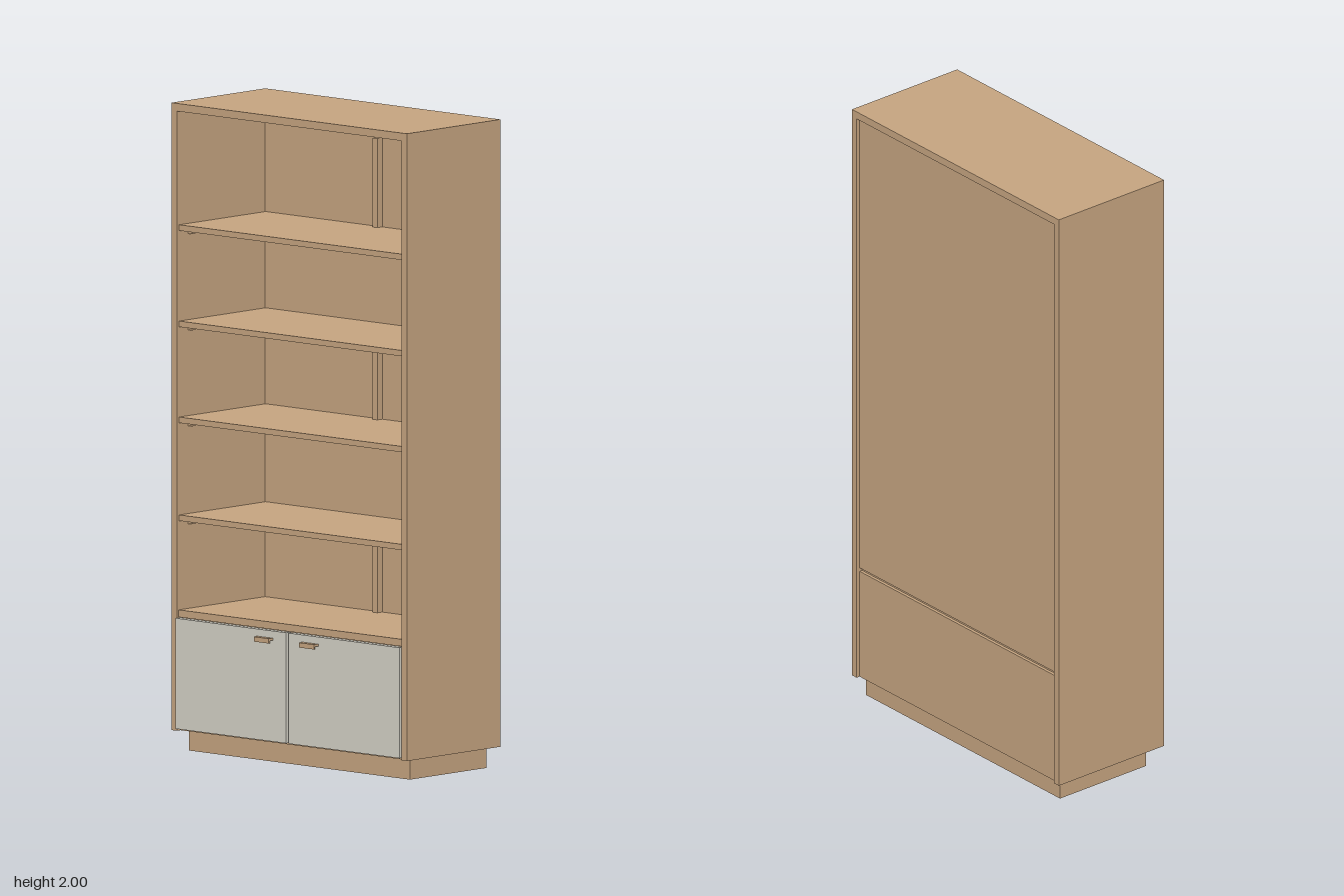
import * as THREE from 'three';

export function createModel() {
  const model = new THREE.Group();
  const wood = new THREE.MeshStandardMaterial({ color: 0xc4a37f });
  wood.name = 'oak wood';
  const paint = new THREE.MeshStandardMaterial({ color: 0xd2cfc4 });
  paint.name = 'pale grey paint';

  // Box given by its minimum and maximum on each axis
  function box(name, [x0, x1], [y0, y1], [z0, z1], material = wood) {
    const mesh = new THREE.Mesh(new THREE.BoxGeometry(x1 - x0, y1 - y0, z1 - z0), material);
    mesh.position.set((x0 + x1) / 2, (y0 + y1) / 2, (z0 + z1) / 2);
    mesh.name = name;
    model.add(mesh);
    return mesh;
  }

  const depth = [-0.222, 0.198];
  const inner = [-0.468, 0.468];

  // Carcass and recessed plinth
  box('plinth', [-0.46, 0.46], [0, 0.065], [-0.192, 0.152]);
  box('leftSide', [0.468, 0.49], [0.065, 2], depth);
  box('rightSide', [-0.49, -0.468], [0.065, 2], depth);
  box('topPanel', inner, [1.976, 2], depth);
  box('bottomPanel', inner, [0.065, 0.085], [-0.21, 0.182]);
  box('fixedShelf', inner, [0.415, 0.437], [-0.2, 0.19]);

  // Back panels, set in from the rear edge with a groove between them
  box('upperBackPanel', inner, [0.437, 1.97], [-0.21, -0.198]);
  box('lowerBackPanel', inner, [0.072, 0.425], [-0.21, -0.198]);

  // Loose shelves resting on small pegs
  for (const top of [0.73, 1.032, 1.328, 1.625]) {
    box('shelf', [-0.466, 0.466], [top - 0.018, top], [-0.198, 0.19]);
    for (const side of [-1, 1]) {
      for (const z of [-0.15, 0.14]) {
        const x = side * 0.46;
        box('shelfPeg', [x - 0.008, x + 0.008], [top - 0.032, top - 0.018], [z - 0.008, z + 0.008]);
      }
    }
  }

  // Upright battens against the back
  for (const [y0, y1] of [[0.437, 0.712], [1.032, 1.31], [1.625, 1.9]]) {
    box('backBatten', [0, 0.02], [y0, y1], [-0.198, -0.176]);
  }

  // Doors
  box('rightDoor', [-0.467, -0.006], [0.072, 0.413], [0.184, 0.205], paint);
  box('leftDoor', [0.003, 0.466], [0.072, 0.413], [0.184, 0.205], paint);

  // Tapered pulls with a thin turned-down lip
  for (const side of [-1, 1]) {
    const outline = new THREE.Shape([
      new THREE.Vector2(-0.034, 0), new THREE.Vector2(0.034, 0),
      new THREE.Vector2(0.031, 0.017), new THREE.Vector2(-0.031, 0.017),
    ]);
    const pull = new THREE.Mesh(
      new THREE.ExtrudeGeometry(outline, { depth: 0.007, bevelEnabled: false }), wood);
    pull.rotation.x = Math.PI / 2;
    pull.position.set(side * 0.094, 0.391, 0.205);
    pull.name = 'doorPull';
    model.add(pull);
    const c = side * 0.094;
    box('doorPullLip', [c - 0.031, c + 0.031], [0.376, 0.386], [0.216, 0.222]);
  }
  return model;
}
